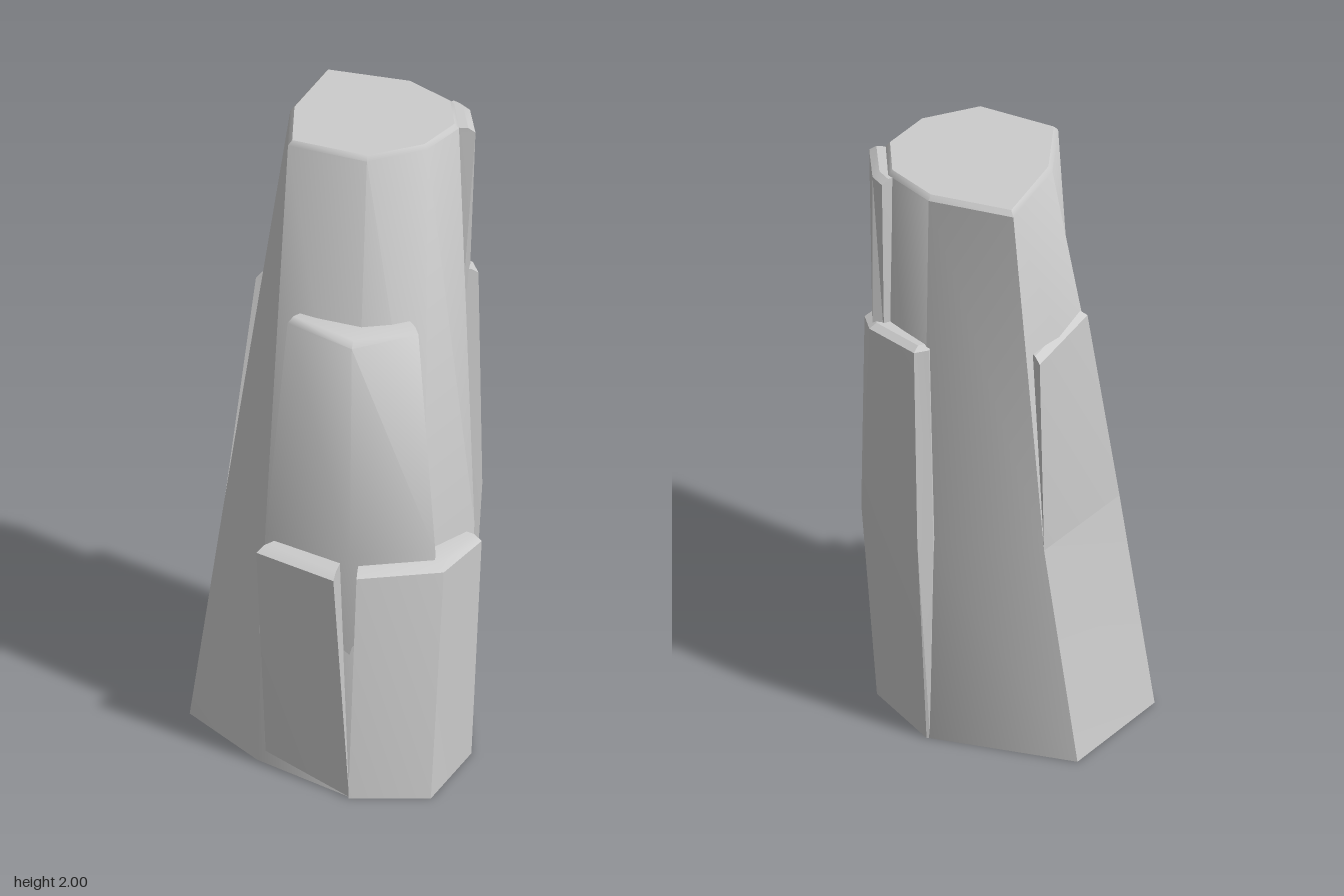
import * as THREE from 'three';
import { toCreasedNormals } from 'three/addons/utils/BufferGeometryUtils.js';

const CENTRE = [0.08, -0.12];
const pull = (points, k) => points.map(([x, z]) => [
  CENTRE[0] + (x - CENTRE[0]) * k, CENTRE[1] + (z - CENTRE[1]) * k]);

// Closed solid through rings { y, points }, points clockwise seen from above
function loft(name, rings, crease) {
  const out = [];
  const tri = (...corners) => corners.forEach((c) => out.push(...c));
  const solid = rings.map(({ y, points }) => points.map(([x, z]) => [x, y, z]));
  const n = solid[0].length;
  const middle = (ring) => [0, 1, 2].map((a) => ring.reduce((s, p) => s + p[a], 0) / n);
  const low = solid[0], high = solid[solid.length - 1];
  const lowMid = middle(low), highMid = middle(high);
  for (let i = 0; i < n; i++) {
    const j = (i + 1) % n;
    for (let r = 0; r + 1 < solid.length; r++) {
      const a = solid[r], b = solid[r + 1];
      tri(a[i], b[i], b[j]);
      tri(a[i], b[j], a[j]);
    }
    tri(lowMid, low[i], low[j]);
    tri(highMid, high[j], high[i]);
  }
  const geometry = new THREE.BufferGeometry();
  geometry.setAttribute('position', new THREE.Float32BufferAttribute(out, 3));
  const mesh = new THREE.Mesh(toCreasedNormals(geometry, crease),
    new THREE.MeshStandardMaterial({ color: 0xcccccc }));
  mesh.name = name;
  return mesh;
}

// Slab hugging the core: outer edge per level, inner edge sunk into the core
function slab(name, levels, crease = 0.5, depth = 0.6) {
  const ring = (y, outer, inner) => ({ y, points: [...outer, ...pull(inner, depth).reverse()] });
  const rings = levels.map(([y, pts]) => ring(y, pts, pts));
  const [y, pts] = levels[levels.length - 1];
  rings.push(ring(y + 0.015, pull(pts, 0.93), pts)); // bevelled top edge
  return loft(name, rings, crease);
}

export function createModel() {
  const model = new THREE.Group();
  model.name = 'rockPillar';

  // Eight-sided core, leaning back and narrowing upwards
  const base = [[-0.45, 0], [-0.305, -0.355], [0.16, -0.345], [0.36, -0.16],
    [0.42, 0.07], [0.36, 0.36], [0.12, 0.41], [-0.195, 0.24]];
  const waist = [[-0.345, -0.01], [-0.2, -0.345], [0.16, -0.38], [0.34, -0.25],
    [0.412, -0.01], [0.3, 0.16], [0.1, 0.24], [-0.19, 0.14]];
  const crown = [[-0.178, -0.16], [-0.125, -0.42], [0.14, -0.4], [0.29, -0.3],
    [0.335, -0.155], [0.27, -0.005], [0.11, 0.105], [-0.14, 0.055]];
  model.add(loft('core', [
    { y: 0, points: base },
    { y: 0.74, points: waist },
    { y: 1.985, points: crown },
    { y: 2, points: pull(crown, 0.95) },
  ], 0.75));

  // Slabs around the foot
  model.add(slab('footSlabLeft', [
    [0, [[0.42, 0.07], [0.36, 0.37], [0.12, 0.42]]],
    [0.705, [[0.445, 0.04], [0.375, 0.255], [0.13, 0.35]]],
  ]));
  model.add(slab('footSlabRight', [
    [0, [[0.12, 0.41], [-0.165, 0.25]]],
    [0.705, [[0.065, 0.375], [-0.195, 0.25]]],
  ]));

  // Tall slabs ending at the shoulder
  model.add(slab('frontSlab', [
    [0.4, [[0.34, 0.23], [0.1, 0.31], [-0.2, 0.19]]],
    [0.75, [[0.34, 0.21], [0.1, 0.303], [-0.18, 0.18]]],
    [1.44, [[0.275, 0.145], [0.1, 0.275], [-0.12, 0.155]]],
  ], 1.13, 0.45));
  model.add(slab('sideSlab', [
    [0.74, [[-0.345, -0.01], [-0.2, -0.345]]],
    [1.44, [[-0.27, -0.1], [-0.197, -0.385]]],
  ]));
  model.add(slab('backSlab', [
    [0, [[0.15, -0.344], [0.16, -0.347], [0.36, -0.162], [0.362, -0.155]]],
    [0.75, [[0.13, -0.385], [0.17, -0.418], [0.375, -0.285], [0.39, -0.23]]],
    [1.44, [[0.14, -0.395], [0.18, -0.42], [0.34, -0.33], [0.37, -0.27]]],
  ], 0.3));

  // Short slab at the crown
  model.add(slab('crownSlab', [
    [1.4, [[0.3, -0.31], [0.335, -0.31], [0.355, -0.1]]],
    [1.97, [[0.3, -0.335], [0.338, -0.3], [0.383, -0.165]]],
  ], 0.3));

  return model;
}
